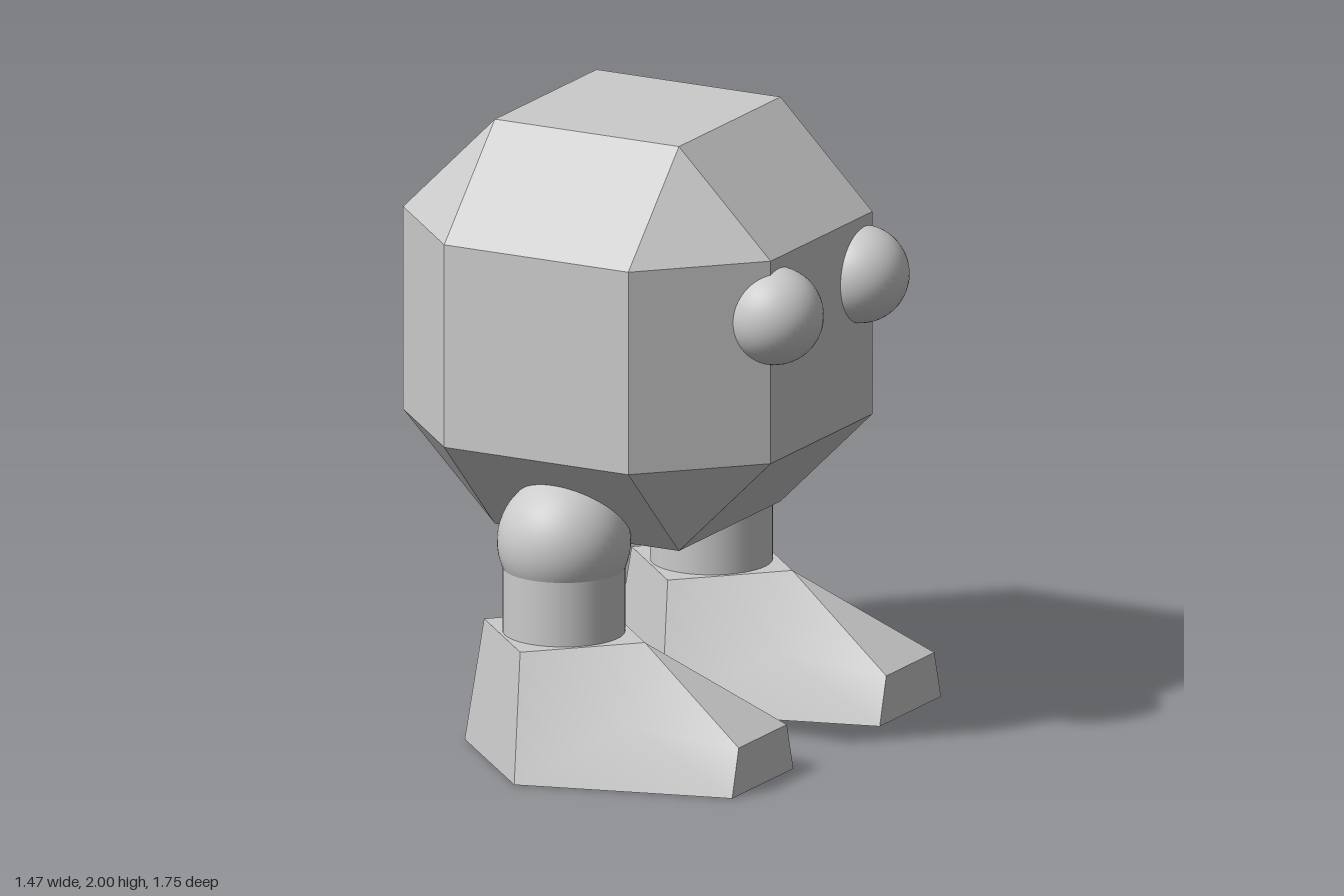
import * as THREE from 'three';
import { ConvexGeometry } from 'three/addons/geometries/ConvexGeometry.js';

const AXIS_X = -0.072; // body and legs share this centre line

// Solid from face rings; each face is a fan round its centre, sharp at its border
function facesToGeometry(faces) {
  const pos = [], index = [];
  for (const ring of faces) {
    const start = pos.length / 3, n = ring.length;
    const centre = [0, 1, 2].map(k => ring.reduce((sum, p) => sum + p[k], 0) / n);
    pos.push(...centre, ...ring.flat());
    for (let i = 0; i < n; i++) index.push(start, start + 1 + i, start + 1 + (i + 1) % n);
  }
  const g = new THREE.BufferGeometry();
  g.setAttribute('position', new THREE.Float32BufferAttribute(pos, 3));
  g.setIndex(index);
  g.computeVertexNormals();
  return g;
}

// Wedge foot: diamond top, pentagonal sole, blunt toe towards +x
function footGeometry() {
  const topBack = [-0.36, 0.405, 0], topFront = [0.22, 0.405, 0], soleBack = [-0.43, 0, 0];
  const topSide = s => [-0.07, 0.405, s * 0.29];
  const soleSide = s => [-0.035, 0, s * 0.392];
  const toeLow = s => [0.645, 0, s * 0.2];
  const toeHigh = s => [0.645, 0.155, s * 0.157];
  const faces = [
    [topFront, topSide(-1), topBack, topSide(1)],
    [topFront, toeHigh(1), toeHigh(-1)],
    [toeLow(1), toeLow(-1), toeHigh(-1), toeHigh(1)],
    [soleSide(1), soleBack, soleSide(-1), toeLow(-1), toeLow(1)],
  ];
  for (const s of [1, -1]) {
    const sides = [
      [soleSide(s), toeLow(s), toeHigh(s), topFront, topSide(s)],
      [soleBack, soleSide(s), topSide(s), topBack],
    ];
    faces.push(...sides.map(r => (s > 0 ? r : r.reverse())));
  }
  return facesToGeometry(faces);
}

// Faceted body: cube with bevelled edges and corners
function bodyGeometry() {
  const a = 0.332, b = 0.663, points = [];
  for (const x of [-1, 1]) for (const y of [-1, 1]) for (const z of [-1, 1])
    for (let k = 0; k < 3; k++)
      points.push(new THREE.Vector3(x * (k === 0 ? b : a), y * (k === 1 ? b : a), z * (k === 2 ? b : a)));
  return new ConvexGeometry(points);
}

export function createModel() {
  const model = new THREE.Group();
  model.name = 'roundWalker';
  const smooth = new THREE.MeshStandardMaterial({ color: 0xcccccc });
  const flat = new THREE.MeshStandardMaterial({ color: 0xcccccc, flatShading: true });

  const add = (parent, name, geometry, material, x, y, z) => {
    const mesh = new THREE.Mesh(geometry, material);
    mesh.name = name;
    mesh.position.set(x, y, z);
    parent.add(mesh);
  };

  add(model, 'body', bodyGeometry(), flat, AXIS_X, 1.337, 0);

  const eye = new THREE.SphereGeometry(0.157, 40, 28);
  const hip = new THREE.SphereGeometry(0.212, 48, 32);
  const shin = new THREE.CylinderGeometry(0.194, 0.194, 0.3, 48);
  const foot = footGeometry();

  for (const [side, s] of [['left', 1], ['right', -1]]) {
    add(model, side + 'Eye', eye, smooth, 0.575, 1.476, s * 0.28);

    // Leg: ball hip, round shin, wedge foot
    const leg = new THREE.Group();
    leg.name = side + 'Leg';
    leg.position.z = s * 0.482;
    add(leg, 'hip', hip, smooth, AXIS_X, 0.7, 0);
    add(leg, 'shin', shin, smooth, AXIS_X, 0.54, 0);
    add(leg, 'foot', foot, smooth, 0, 0, 0);
    model.add(leg);
  }
  return model;
}
